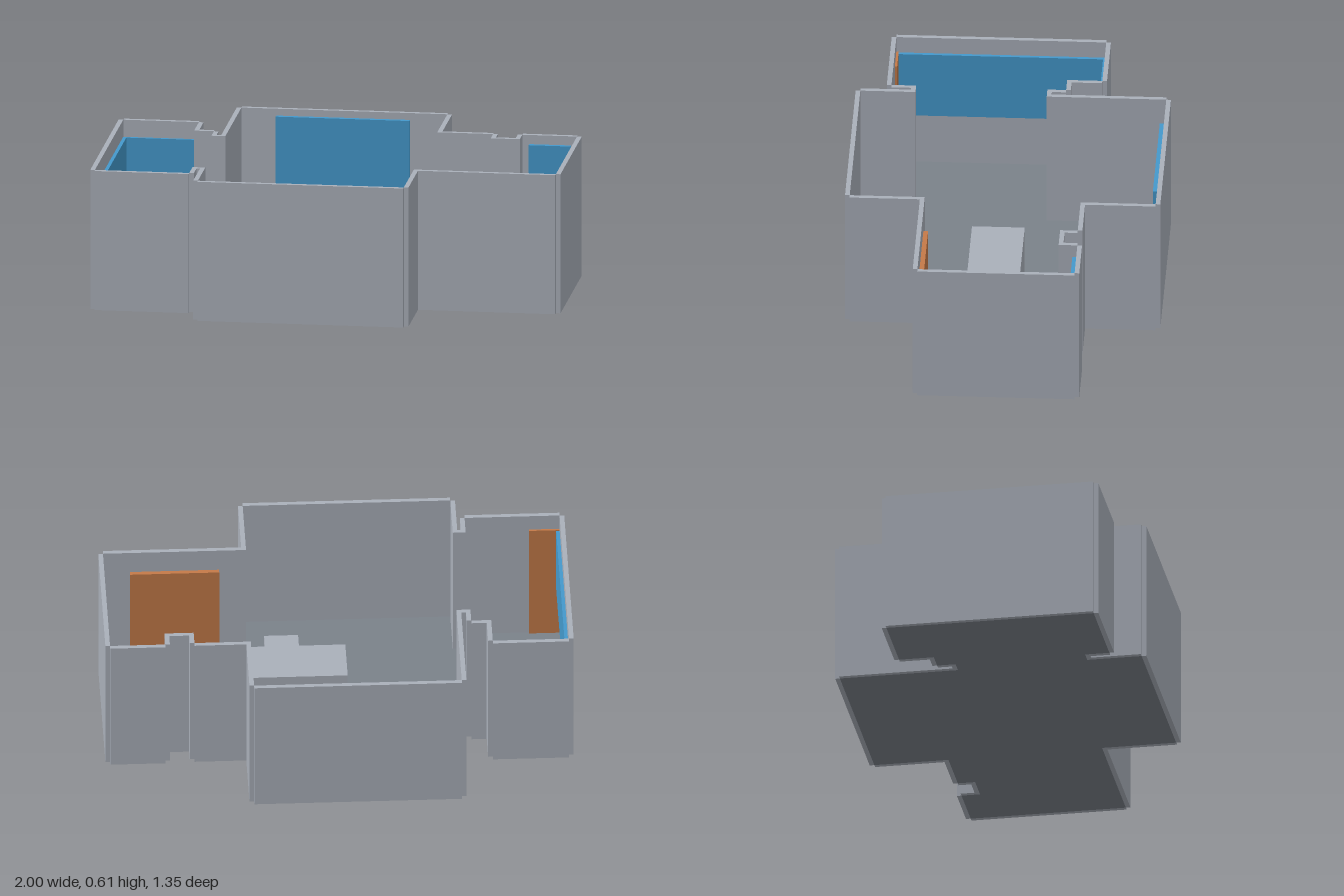
import * as THREE from 'three';

const WALL_H = 0.61;
const WALL_T = 0.02;

// Floor outline as [x, z], clockwise seen from above
const OUTLINE = [
  [-0.51, -0.655], [0.375, -0.655], [0.375, -0.335], [0.615, -0.335],
  [0.615, -0.26], [0.74, -0.26], [0.74, -0.34], [0.975, -0.34],
  [0.975, 0.33], [0.365, 0.33], [0.365, 0.65], [-0.52, 0.65],
  [-0.52, 0.415], [-0.575, 0.415], [-0.575, 0.52], [-0.98, 0.52],
  [-0.98, -0.375], [-0.655, -0.375], [-0.655, -0.225], [-0.57, -0.225],
  [-0.57, -0.145], [-0.51, -0.145],
];

function material(name, color) {
  const m = new THREE.MeshStandardMaterial({ color });
  m.name = name;
  return m;
}

// Box given by its limits on each axis
function box(name, mat, [x0, x1], [y0, y1], [z0, z1]) {
  const mesh = new THREE.Mesh(new THREE.BoxGeometry(x1 - x0, y1 - y0, z1 - z0), mat);
  mesh.position.set((x0 + x1) / 2, (y0 + y1) / 2, (z0 + z1) / 2);
  mesh.name = name;
  return mesh;
}

export function createModel() {
  const model = new THREE.Group();
  model.name = 'apartment';

  const wallGrey = material('wall grey', 0xaab0ba);
  const floorGrey = material('floor grey', 0x7b828a);
  floorGrey.side = THREE.DoubleSide;
  const windowBlue = material('window blue', 0x4499cc);
  const doorOrange = material('door orange', 0xc47a48);

  // Floor slab
  const shape = new THREE.Shape(OUTLINE.map(([x, z]) => new THREE.Vector2(x, z)));
  const floor = new THREE.Mesh(new THREE.ShapeGeometry(shape).rotateX(Math.PI / 2), floorGrey);
  floor.name = 'floor';
  model.add(floor);

  // One wall outside each floor edge, leaving notched outer corners
  const walls = new THREE.Group();
  walls.name = 'walls';
  OUTLINE.forEach(([x0, z0], i) => {
    const [x1, z1] = OUTLINE[(i + 1) % OUTLINE.length];
    const ox = Math.sign(z1 - z0) * WALL_T;
    const oz = -Math.sign(x1 - x0) * WALL_T;
    const xs = [x0, x1, x0 + ox], zs = [z0, z1, z0 + oz];
    walls.add(box('wall', wallGrey,
      [Math.min(...xs), Math.max(...xs)], [0, WALL_H], [Math.min(...zs), Math.max(...zs)]));
  });
  model.add(walls);

  // Windows on the inner wall faces
  model.add(
    box('backWindow', windowBlue, [-0.36, 0.215], [0.24, 0.58], [-0.655, -0.635]),
    box('smallWindow', windowBlue, [0.77, 0.95], [0.24, 0.57], [-0.34, -0.32]),
    box('cornerWindowBack', windowBlue, [-0.98, -0.657], [0.235, 0.535], [-0.375, -0.362]),
    box('cornerWindowSide', windowBlue, [-0.98, -0.965], [0.235, 0.535], [-0.362, 0.51]),
  );

  // Doors
  model.add(
    box('wideDoor', doorOrange, [0.48, 0.86], [0.001, 0.51], [0.31, 0.33]),
    box('narrowDoor', doorOrange, [-0.98, -0.85], [0.001, 0.54], [0.51, 0.52]),
  );

  // Furniture blocks
  model.add(
    box('table', wallGrey, [-0.05, 0.485], [0.001, 0.23], [-0.075, 0.15]),
    box('bench', wallGrey, [0.14, 0.285], [0.001, 0.105], [0.155, 0.4]),
    box('cabinet', wallGrey, [0.63, 0.82], [0.001, 0.23], [-0.06, 0.13]),
  );

  return model;
}
